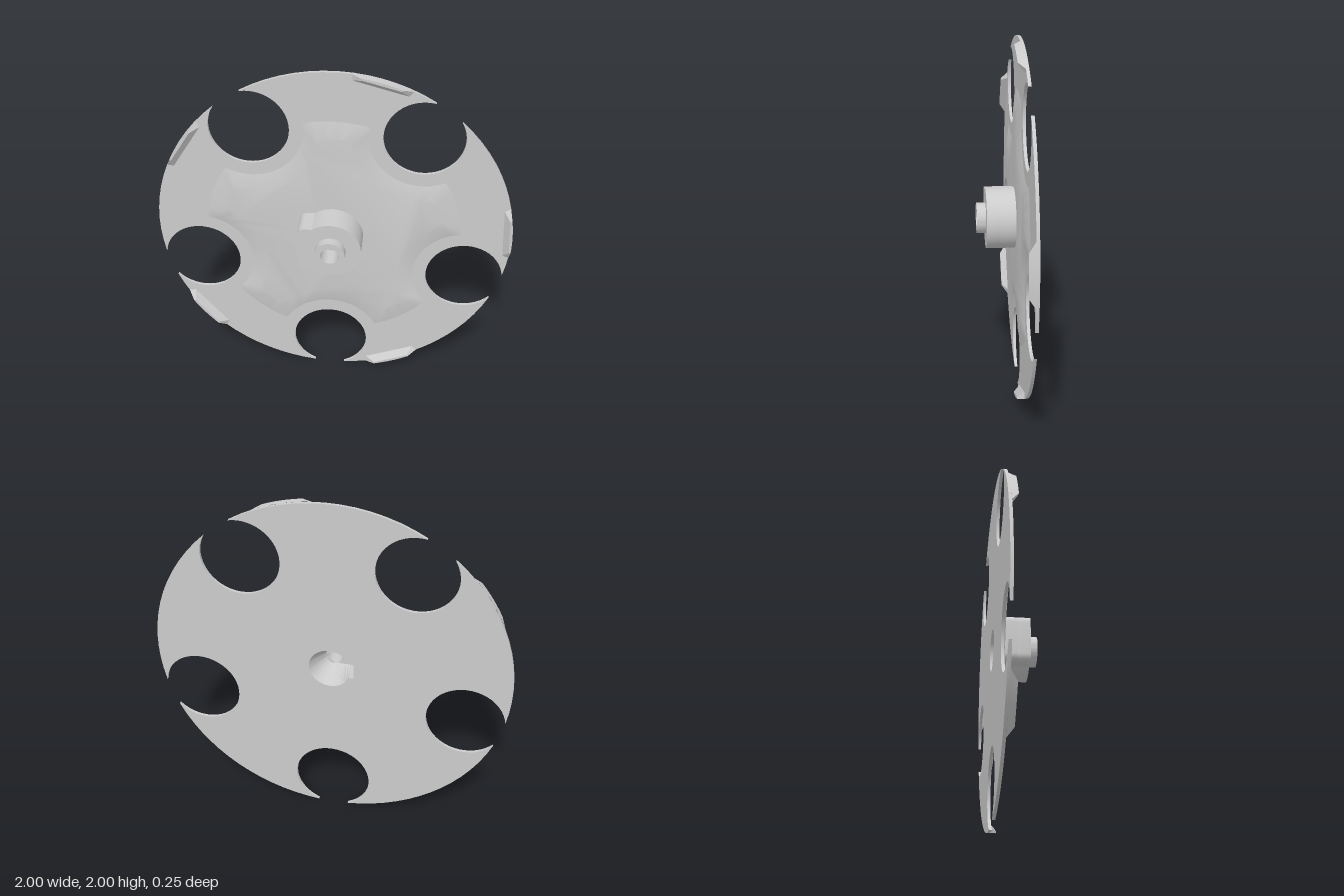
import * as THREE from 'three';
import { toCreasedNormals } from 'three/addons/utils/BufferGeometryUtils.js';

const material = new THREE.MeshStandardMaterial({ color: 0xcccccc });
const RAD = Math.PI / 180;
const BACK = -0.123, FACE = -0.106, RAISED = -0.087, FRONT = 0.123;
const NOTCH_START = -91.2 * RAD, STEP = 72 * RAD, NOTCH_DIST = 0.797;

const polar = (r, a) => new THREE.Vector2(r * Math.cos(a), r * Math.sin(a));

function ring(r, n = 64) {
  return Array.from({ length: n }, (_, i) => polar(r, (i / n) * Math.PI * 2));
}

// Disc outline of radius R with five circular bites of radius rc
function notchedOutline(R, rc, rimSegs, biteSegs) {
  const d = NOTCH_DIST, pts = [];
  const beta = Math.acos((R * R + d * d - rc * rc) / (2 * R * d));
  const gamma = Math.atan2(R * Math.sin(beta), R * Math.cos(beta) - d);
  for (let k = 0; k < 5; k++) {
    const theta = NOTCH_START + k * STEP;
    const c = polar(d, theta);
    for (let i = 0; i < biteSegs; i++) {
      const a = -gamma - (i / biteSegs) * (2 * Math.PI - 2 * gamma);
      pts.push(polar(rc, theta + a).add(c));
    }
    for (let i = 0; i < rimSegs; i++) {
      pts.push(polar(R, theta + beta + (i / rimSegs) * (STEP - 2 * beta)));
    }
  }
  return pts;
}

// Skin between equal-length rings [points, z]; optional front cap with a hole
function loft(rings, cap = false, hole = null) {
  const pos = [];
  const put = (p, z) => pos.push(p.x, p.y, z);
  for (let r = 0; r < rings.length - 1; r++) {
    const [A, za] = rings[r], [B, zb] = rings[r + 1];
    A.forEach((_, i) => {
      const j = (i + 1) % A.length;
      put(A[i], za); put(A[j], za); put(B[j], zb);
      put(A[i], za); put(B[j], zb); put(B[i], zb);
    });
  }
  if (cap) {
    const [P, z] = rings[rings.length - 1];
    const holes = hole ? [hole.slice().reverse()] : [];
    const all = P.concat(...holes);
    for (const f of THREE.ShapeUtils.triangulateShape(P.slice(), holes)) f.forEach(i => put(all[i], z));
  }
  const g = new THREE.BufferGeometry();
  g.setAttribute('position', new THREE.Float32BufferAttribute(pos, 3));
  return toCreasedNormals(g, 25 * RAD);
}

function extrude(points, hole, z0, z1) {
  const shape = new THREE.Shape(points);
  shape.holes.push(new THREE.Path(hole.slice().reverse()));
  const g = new THREE.ExtrudeGeometry(shape, { depth: z1 - z0, bevelEnabled: false });
  g.translate(0, 0, z0);
  return toCreasedNormals(g, 25 * RAD);
}

// Circle joined with a square key slot reaching toward -x
function slottedRing(r) {
  const reach = 0.135, half = 0.045, corner = Math.atan2(half, reach);
  const angles = Array.from({ length: 72 }, (_, i) => (i * 5 + 0.5) * RAD);
  angles.push(Math.PI - corner, Math.PI + corner);
  angles.sort((a, b) => a - b);
  return angles.map(a => {
    const c = Math.cos(a), s = Math.abs(Math.sin(a));
    const slot = c < 0 ? Math.min(reach / -c, half / Math.max(s, 1e-6)) : 0;
    return polar(Math.max(r, slot), a);
  });
}

// Round hub merged with a rounded block on its -x side
function hubOutline() {
  const R = 0.17, x = -0.185, h = 0.137, f = 0.045;
  const a = Math.PI - Math.asin(h / R), pts = [];
  for (let i = 0; i <= 48; i++) pts.push(polar(R, -a + (i / 48) * 2 * a));
  for (const [cy, start] of [[h - f, 90], [f - h, 180]]) {
    for (let i = 0; i <= 6; i++) {
      pts.push(polar(f, (start + i * 15) * RAD).add(new THREE.Vector2(x + f, cy)));
    }
  }
  return pts;
}

export function createModel() {
  const model = new THREE.Group();
  const wheel = new THREE.Group();
  wheel.name = 'wheel';
  wheel.position.y = 1;
  model.add(wheel);
  const add = (name, geometry) => {
    const mesh = new THREE.Mesh(geometry, material);
    mesh.name = name;
    wheel.add(mesh);
    return mesh;
  };

  // Thin plate with five open notches in its rim
  const mouth = slottedRing(0.118);
  add('notchedPlate', extrude(notchedOutline(1, 0.218, 14, 40), mouth, BACK, FACE));

  // Raised star with sloping edges
  add('raisedStar', loft([
    [notchedOutline(0.715, 0.295, 6, 16), FACE],
    [notchedOutline(0.62, 0.378, 6, 16), RAISED],
  ], true, ring(0.15)));

  // Wedge ribs along the rim, one between each pair of notches
  const ribRing = (r, halfWidth, halfAngle) => {
    const pts = [new THREE.Vector2(r, -halfWidth)];
    for (let i = -4; i <= 4; i++) pts.push(polar(1, (i / 4) * halfAngle * RAD));
    pts.push(new THREE.Vector2(r, halfWidth));
    return pts;
  };
  const ribGeometry = loft([
    [ribRing(0.952, 0.15, 9.6), FACE],
    [ribRing(0.984, 0.105, 6.3), -0.07],
  ], true);
  for (let k = 0; k < 5; k++) add('rimRib', ribGeometry).rotation.z = 3.2 * RAD + k * STEP;

  // Hub: hollow base, solid front with bore, and small boss
  const hub = hubOutline(), bore = ring(0.05), floor = 0;
  add('hubBase', extrude(hub, ring(0.15), FACE, floor));
  add('hubFront', extrude(hub, bore, floor, 0.073));
  add('boss', extrude(ring(0.085), bore, 0.073, FRONT));

  // Conical recess with key slot, open at the back
  const boreEdge = slottedRing(0).map(p => polar(0.05, p.angle()));
  add('backRecess', loft([[boreEdge, floor], [slottedRing(0.05), floor], [mouth, BACK]]));

  return model;
}
